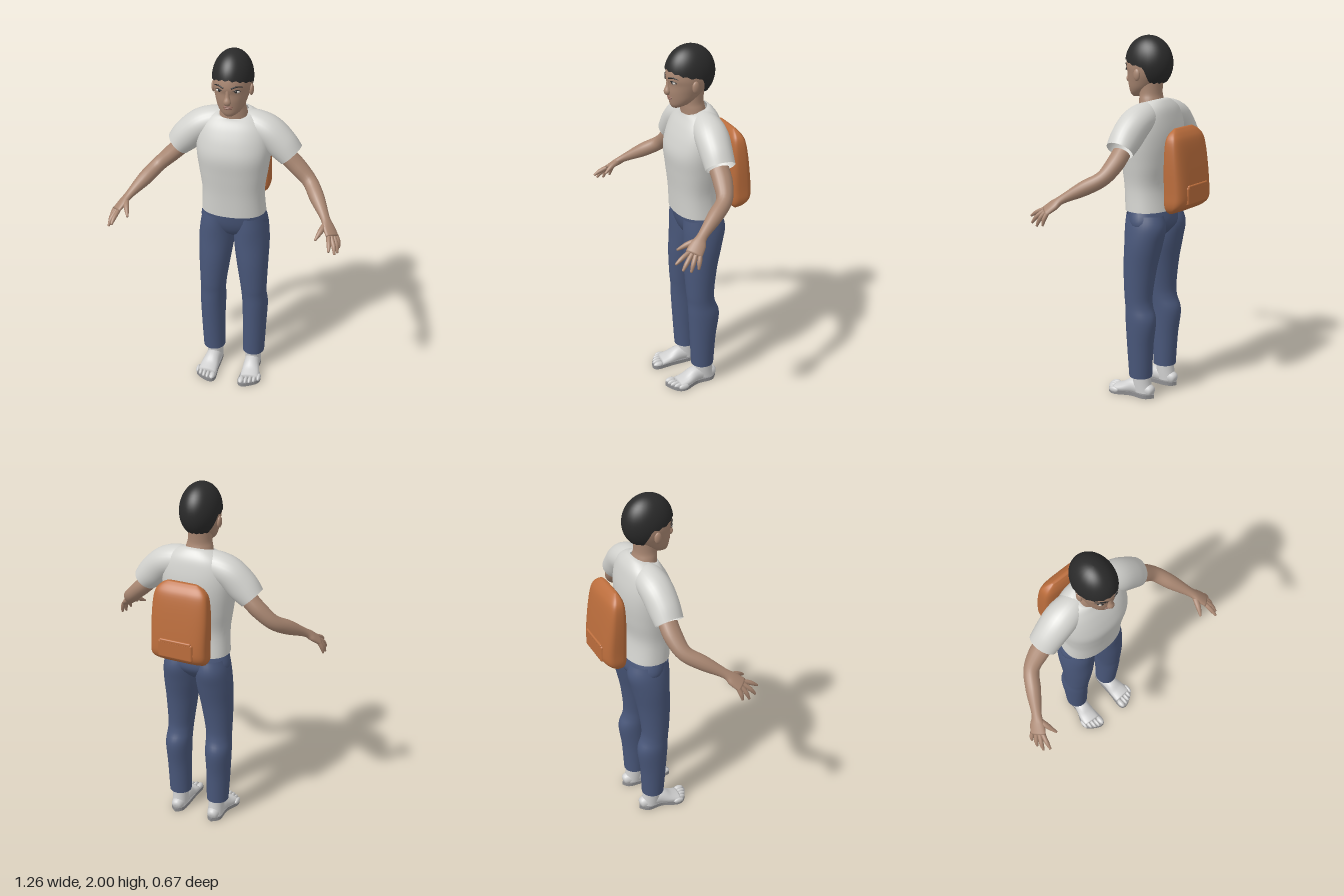
import * as THREE from 'three';
import { RoundedBoxGeometry } from 'three/addons/geometries/RoundedBoxGeometry.js';

const mat = (name, color, side = THREE.FrontSide) => {
  const m = new THREE.MeshStandardMaterial({ color, side });
  m.name = name;
  return m;
};

// Skin a stack of closed point rings, optionally capped at both ends
function skinRings(rings, capStart, capEnd) {
  const n = rings[0].length, pos = [], idx = [];
  rings.forEach(r => r.forEach(p => pos.push(p.x, p.y, p.z)));
  for (let i = 0; i < rings.length - 1; i++) for (let j = 0; j < n; j++) {
    const a = i * n + j, b = i * n + (j + 1) % n;
    idx.push(a, a + n, b, b, a + n, b + n);
  }
  const cap = (row, flip) => {
    const c = rings[row].reduce((s, p) => s.add(p), new THREE.Vector3()).divideScalar(n);
    const k = pos.length / 3;
    pos.push(c.x, c.y, c.z);
    for (let j = 0; j < n; j++) {
      const a = row * n + j, b = row * n + (j + 1) % n;
      flip ? idx.push(k, a, b) : idx.push(k, b, a);
    }
  };
  if (capStart) cap(0, true);
  if (capEnd) cap(rings.length - 1, false);
  const g = new THREE.BufferGeometry();
  g.setAttribute('position', new THREE.Float32BufferAttribute(pos, 3));
  g.setIndex(idx);
  g.computeVertexNormals();
  return g;
}

// Smoothly resample rows of numbers
function resample(rows, steps) {
  const out = [], at = i => rows[Math.min(Math.max(i, 0), rows.length - 1)];
  for (let i = 0; i < rows.length - 1; i++) for (let s = 0; s < steps; s++) {
    const t = s / steps;
    out.push(rows[i].map((b, k) => {
      const a = at(i - 1)[k], c = at(i + 1)[k], d = at(i + 2)[k];
      return b + 0.5 * t * (c - a + t * (2 * a - 5 * b + 4 * c - d + t * (3 * (b - c) + d - a)));
    }));
  }
  out.push(at(rows.length - 1));
  return out;
}

const bend = (v, e) => Math.sign(v) * Math.pow(Math.abs(v), 2 / e);

// Horizontal sections, bottom to top: [y, cx, cz, rx, rz, tilt]
function loft(rows, { n = 32, e = 2, steps = 5, start = false, end = false } = {}) {
  const rings = resample(rows, steps).map(([y, cx, cz, rx, rz, tilt = 0]) =>
    Array.from({ length: n }, (_, j) => {
      const a = j / n * Math.PI * 2, dz = rz * bend(Math.sin(a), e);
      return new THREE.Vector3(cx + rx * bend(Math.cos(a), e), y + tilt * dz, cz + dz);
    }));
  return skinRings(rings, start, end);
}

// Sections along a path: [x, y, z, r1, r2]; r1 lies towards ref
function limb(rows, { n = 18, steps = 5, ref = [-0.3, 0, 0.9], start = false, end = true } = {}) {
  const s = resample(rows, steps), p = s.map(r => new THREE.Vector3(r[0], r[1], r[2]));
  const rings = s.map((r, i) => {
    const T = p[Math.min(i + 1, p.length - 1)].clone().sub(p[Math.max(i - 1, 0)]).normalize();
    const U = new THREE.Vector3(...ref);
    U.addScaledVector(T, -U.dot(T)).normalize();
    const V = U.clone().cross(T);
    return Array.from({ length: n }, (_, j) => {
      const a = j / n * Math.PI * 2;
      return p[i].clone().addScaledVector(U, r[3] * Math.cos(a)).addScaledVector(V, r[4] * Math.sin(a));
    });
  });
  return skinRings(rings, start, end);
}

const ball = (x, y, z, rx, ry, rz) => new THREE.SphereGeometry(1, 20, 14).scale(rx, ry, rz).translate(x, y, z);

// Mirror across x and keep faces outward
function mirrored(g) {
  const m = g.clone().scale(-1, 1, 1);
  if (m.index) {
    const ix = m.index.array;
    for (let i = 0; i < ix.length; i += 3) [ix[i], ix[i + 1]] = [ix[i + 1], ix[i]];
  } else {
    for (const a of Object.values(m.attributes)) for (let i = 0; i < a.count; i += 3)
      for (let k = 0; k < a.itemSize; k++) {
        const t = a.getComponent(i, k);
        a.setComponent(i, k, a.getComponent(i + 1, k));
        a.setComponent(i + 1, k, t);
      }
  }
  m.computeVertexNormals();
  return m;
}

export function createModel() {
  const D = THREE.DoubleSide;
  const skin = mat('skin', 0xa98772, D), shirt = mat('shirt cloth', 0xd2d2ce, D);
  const denim = mat('trouser cloth', 0x49577a, D), black = mat('hair', 0x2a2a2a, D);
  const orange = mat('backpack cloth', 0xbb6d3c), sock = mat('foot grey', 0xcfcfcf);
  const sole = mat('sole grey', 0x8e8e90), lip = mat('lips', 0x8f6558), white = mat('eye white', 0xc9c2ba);
  const model = new THREE.Group();
  const add = (name, g, m) => {
    const mesh = new THREE.Mesh(g, m);
    mesh.name = name;
    model.add(mesh);
  };
  const pair = (name, g, m) => {
    add('left ' + name, g, m);
    add('right ' + name, mirrored(g), m);
  };

  // Shirt
  add('shirt body', loft([
    [1.07, 0, -0.045, 0.178, 0.124, 0], [1.2, 0, -0.032, 0.171, 0.118, 0], [1.32, 0, -0.035, 0.187, 0.134, 0],
    [1.42, 0, -0.037, 0.2, 0.145, 0], [1.5, 0, -0.046, 0.202, 0.136, 0], [1.57, 0, -0.055, 0.19, 0.116, 0],
    [1.62, 0, -0.06, 0.155, 0.095, -0.05], [1.648, 0, -0.05, 0.105, 0.077, -0.2], [1.652, 0, -0.04, 0.08, 0.067, -0.3],
  ], { n: 40, e: 2.3 }), shirt);
  pair('sleeve', limb([
    [0.06, 1.575, -0.065, 0.075, 0.08], [0.12, 1.572, -0.063, 0.085, 0.083], [0.19, 1.545, -0.058, 0.09, 0.084],
    [0.26, 1.48, -0.053, 0.085, 0.084], [0.31, 1.428, -0.05, 0.08, 0.07],
  ], { n: 28, end: false }), shirt);

  // Trousers
  add('trouser seat', loft([
    [0.9, 0, -0.055, 0.05, 0.03], [0.94, 0, -0.055, 0.14, 0.08], [1, 0, -0.06, 0.188, 0.115], [1.08, 0, -0.046, 0.172, 0.117],
  ], { start: true }), denim);
  pair('trouser leg', loft([
    [0.12, 0.119, -0.045, 0.063, 0.065], [0.3, 0.123, -0.045, 0.068, 0.076], [0.45, 0.124, -0.05, 0.073, 0.09],
    [0.53, 0.12, -0.036, 0.072, 0.079], [0.6, 0.117, -0.03, 0.076, 0.08], [0.75, 0.108, -0.036, 0.09, 0.094],
    [0.88, 0.1, -0.052, 0.1, 0.108], [0.98, 0.096, -0.062, 0.094, 0.12], [1.05, 0.09, -0.055, 0.083, 0.11],
  ]), denim);

  // Arms, hands and fingers
  pair('arm', limb([
    [0.295, 1.412, -0.05, 0.053, 0.046], [0.35, 1.36, -0.046, 0.052, 0.045], [0.42, 1.295, -0.02, 0.042, 0.04],
    [0.475, 1.243, 0.06, 0.04, 0.039], [0.535, 1.185, 0.155, 0.027, 0.022], [0.56, 1.155, 0.19, 0.04, 0.02],
    [0.588, 1.122, 0.228, 0.044, 0.015],
  ]), skin);
  [
    ['index finger', [0.57, 1.13, 0.245], [0.58, 1.108, 0.29], [0.585, 1.085, 0.325]],
    ['middle finger', [0.583, 1.124, 0.235], [0.603, 1.09, 0.272], [0.612, 1.056, 0.298]],
    ['ring finger', [0.595, 1.12, 0.22], [0.614, 1.083, 0.242], [0.622, 1.045, 0.257]],
    ['little finger', [0.605, 1.116, 0.2], [0.618, 1.085, 0.21], [0.624, 1.053, 0.216]],
    ['thumb', [0.543, 1.17, 0.185], [0.527, 1.15, 0.235], [0.507, 1.12, 0.283]],
  ].forEach(([name, a, b, c]) => {
    const r = name === 'thumb' ? 0.015 : 0.012;
    pair(name, limb([[...a, r, r], [...b, r, r], [...c, 0.006, 0.006]], { n: 10, steps: 4 }), skin);
  });

  // Feet
  pair('ankle', loft([[0.03, 0.116, -0.06, 0.045, 0.058], [0.09, 0.116, -0.052, 0.046, 0.054], [0.2, 0.118, -0.048, 0.046, 0.052]]), sock);
  pair('foot', limb([
    [0.115, 0.035, -0.128, 0.01, 0.01], [0.115, 0.038, -0.115, 0.03, 0.032], [0.115, 0.046, -0.06, 0.042, 0.044],
    [0.118, 0.05, 0, 0.044, 0.046], [0.125, 0.032, 0.06, 0.052, 0.03], [0.129, 0.022, 0.115, 0.055, 0.02],
  ], { ref: [1, 0, 0], start: true }), sock);
  for (let i = 0; i < 5; i++) {
    const r = i ? 0.0115 : 0.017;
    pair('toe ' + (i + 1), ball(0.087 + i * 0.023 + (i ? 0.004 : 0), 0.022, 0.143 - i * i * 0.0028, r, 0.017, 0.031), sock);
  }
  const outline = new THREE.Shape(new THREE.SplineCurve([
    [0.115, -0.132], [0.157, -0.09], [0.158, 0], [0.19, 0.08], [0.184, 0.125], [0.145, 0.158], [0.095, 0.177],
    [0.068, 0.15], [0.072, 0.06], [0.076, -0.09], [0.115, -0.132],
  ].map(p => new THREE.Vector2(...p))).getPoints(50));
  pair('sole', new THREE.ExtrudeGeometry(outline, { depth: 0.022, bevelEnabled: false }).rotateX(Math.PI / 2).translate(0, 0.022, 0), sole);

  // Neck and head
  add('neck', loft([[1.6, 0, -0.045, 0.085, 0.07], [1.66, 0, -0.035, 0.073, 0.064], [1.7, 0, -0.03, 0.064, 0.062], [1.78, 0, -0.03, 0.066, 0.068]]), skin);
  add('head', loft([
    [1.672, 0, 0.06, 0.022, 0.022], [1.69, 0, 0.042, 0.05, 0.05], [1.72, 0, 0.022, 0.071, 0.076], [1.76, 0, 0.004, 0.085, 0.1],
    [1.8, 0, -0.01, 0.096, 0.115], [1.84, 0, -0.012, 0.1, 0.125], [1.9, 0, -0.015, 0.093, 0.115], [1.96, 0, -0.02, 0.06, 0.08],
  ], { start: true, end: true }), skin);
  add('nose', limb([
    [0, 1.835, 0.1, 0.01, 0.01], [0, 1.79, 0.104, 0.012, 0.013], [0, 1.762, 0.11, 0.02, 0.017], [0, 1.747, 0.104, 0.012, 0.01],
  ], { ref: [1, 0, 0], start: true }), skin);
  pair('ear', ball(0.1, 1.797, -0.008, 0.012, 0.032, 0.02).rotateX(0), skin);
  add('upper lip', ball(0, 1.732, 0.094, 0.027, 0.006, 0.012), lip);
  add('lower lip', ball(0, 1.722, 0.093, 0.023, 0.007, 0.012), lip);
  pair('eye', ball(0.044, 1.819, 0.093, 0.018, 0.008, 0.009), white);
  pair('iris', ball(0.043, 1.82, 0.099, 0.008, 0.0075, 0.005), black);
  pair('upper eyelid', limb([[0.024, 1.82, 0.104, 0.002, 0.002], [0.044, 1.828, 0.099, 0.003, 0.003], [0.065, 1.819, 0.083, 0.002, 0.002]],
    { n: 8, ref: [0, 1, 0], start: true }), black);
  pair('eyebrow', limb([[0.02, 1.838, 0.111, 0.004, 0.003], [0.048, 1.847, 0.099, 0.004, 0.003], [0.073, 1.84, 0.077, 0.002, 0.002]],
    { n: 8, ref: [0, 1, 0], start: true }), black);

  // Hair cap: an ellipsoid trimmed along a scalloped hairline
  const N = 72, M = 18;
  const hairRings = Array.from({ length: M + 1 }, (_, i) => Array.from({ length: N }, (_, j) => {
    const a = j / N * Math.PI * 2, s = Math.sin(a);
    const line = 1.843 + 0.038 * Math.max(0, s) ** 1.5 - 0.09 * THREE.MathUtils.smoothstep(-s, 0.1, 0.55) + 0.004 * Math.sin(a * 18);
    const th = Math.acos((line - 1.855) / 0.145) * (1 - i / M * 0.99);
    return new THREE.Vector3(0.107 * Math.sin(th) * Math.cos(a), 1.855 + 0.145 * Math.cos(th), -0.019 + 0.137 * Math.sin(th) * s);
  }));
  add('hair', skinRings(hairRings, false, true), black);

  // Backpack
  add('backpack', loft([
    [1.08, 0, -0.24, 0.125, 0.012], [1.1, 0, -0.252, 0.148, 0.045], [1.135, 0, -0.264, 0.16, 0.067], [1.2, 0, -0.265, 0.16, 0.07],
    [1.35, 0, -0.257, 0.16, 0.061], [1.46, 0, -0.25, 0.15, 0.048], [1.505, 0, -0.245, 0.125, 0.03], [1.53, 0, -0.24, 0.085, 0.008],
  ], { n: 48, e: 3.6, start: true, end: true }), orange);
  add('backpack pocket', new RoundedBoxGeometry(0.2, 0.1, 0.03, 3, 0.012).translate(0, 1.18, -0.325), orange);
  add('pocket flap', new RoundedBoxGeometry(0.18, 0.022, 0.016, 3, 0.007).translate(0, 1.226, -0.332), orange);
  return model;
}
